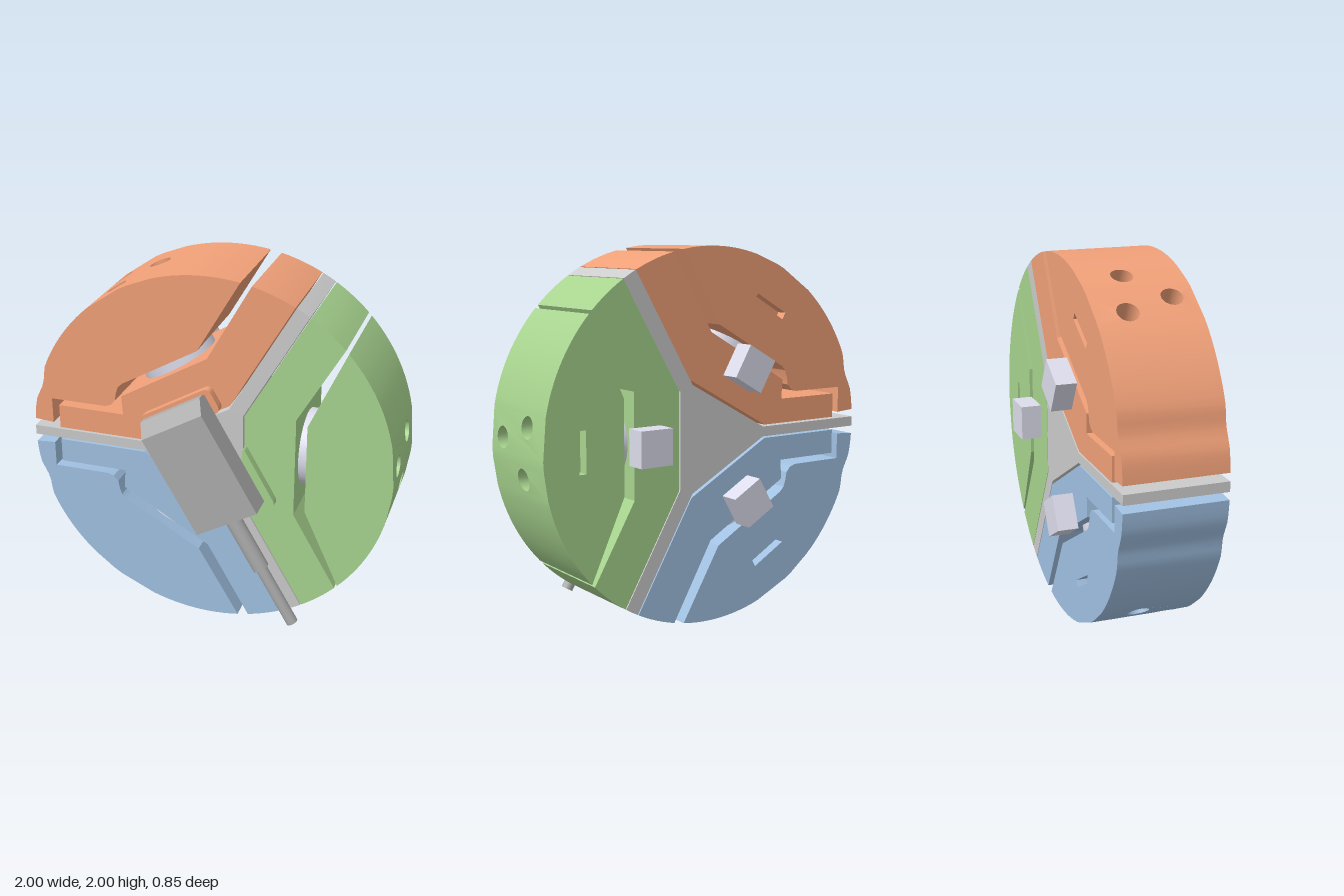
import * as THREE from 'three';
import { mergeGeometries, toCreasedNormals } from 'three/addons/utils/BufferGeometryUtils.js';

const BACK = -0.313, FRONT = 0.237, PIN_Z = -0.04;
const RAD = Math.PI / 180;
const COLORS = { green: 0xa8d48f, orange: 0xf0a078, blue: 0xa1c1e2, grey: 0xcccccc, dark: 0xadadad, steel: 0xdcdcec };
// Pin holes in a cap: [offset along the rim, z]
const HOLES = [[0.04, 0.115], [0.12, -0.14], [-0.15, -0.085]];
const HOLE_R = 0.058;
const PATCH = [-0.22, -0.08, -0.025, 0.19];

const mat = (name, side = THREE.FrontSide) => new THREE.MeshStandardMaterial({ color: COLORS[name], side });

function addMesh(parent, name, geometry, material) {
  const mesh = new THREE.Mesh(geometry, material);
  mesh.name = name;
  parent.add(mesh);
  return mesh;
}

const shapeOf = pts => new THREE.Shape(pts.map(([x, y]) => new THREE.Vector2(x, y)));
const mirror = pts => pts.map(([x, y]) => [x, -y]).reverse();

// Points along the rim, with a shallow dent either side of the left arm
function rim(from, to) {
  const n = Math.max(1, Math.ceil((to - from) / 2.5)), pts = [];
  for (let i = 0; i <= n; i++) {
    const a = from + (to - from) * i / n;
    const d = Math.abs(Math.abs(180 - a) - 17) / 7;
    const r = d < 1 ? 1 - 0.01 * (1 + Math.cos(Math.PI * d)) : 1;
    pts.push([r * Math.cos(a * RAD), r * Math.sin(a * RAD)]);
  }
  return pts;
}

function prism(shape, z0, z1) {
  const g = new THREE.ExtrudeGeometry(shape, { depth: z1 - z0, bevelEnabled: false, curveSegments: 6 });
  return toCreasedNormals(g.translate(0, 0, z0), 0.4);
}

function bare(g) {
  const out = g.index ? g.toNonIndexed() : g;
  out.deleteAttribute('uv');
  out.deleteAttribute('normal');
  return out;
}

// Outer cap: front and back faces, walls, and a rim patch pierced by pin holes
function capGeometry(axis, from, to, inner) {
  const patchAngles = PATCH.map(t => axis + Math.asin(t) / RAD);
  const patchRim = patchAngles.map(a => [Math.cos(a * RAD), Math.sin(a * RAD)]);
  const first = rim(from, patchAngles[0]);
  const outline = [...first, ...patchRim.slice(1, -1), ...rim(patchAngles[3], to), ...inner];
  const parts = [];

  parts.push(new THREE.ShapeGeometry(shapeOf(outline)).translate(0, 0, FRONT));
  const back = shapeOf(mirror(outline));
  const c = Math.cos(axis * RAD), s = Math.sin(axis * RAD);
  const slot = [[0.76, -0.11], [0.8, -0.11], [0.8, 0.11], [0.76, 0.11]]
    .map(([u, v]) => new THREE.Vector2(u * c - v * s, -(u * s + v * c)));
  back.holes.push(new THREE.Path(slot));
  parts.push(new THREE.ShapeGeometry(back).rotateX(Math.PI).translate(0, 0, BACK));

  const walls = [];
  outline.forEach(([x0, y0], i) => {
    if (i >= first.length - 1 && i < first.length + 2) return;
    const [x1, y1] = outline[(i + 1) % outline.length];
    walls.push(x0, y0, BACK, x1, y1, BACK, x1, y1, FRONT, x0, y0, BACK, x1, y1, FRONT, x0, y0, FRONT);
  });
  parts.push(new THREE.BufferGeometry().setAttribute('position', new THREE.Float32BufferAttribute(walls, 3)));

  for (let i = 0; i < 3; i++) {
    const a = PATCH[i], b = PATCH[i + 1];
    const panel = shapeOf([[a, BACK], [b, BACK], [b, FRONT], [a, FRONT]]);
    HOLES.filter(([t]) => t > a && t < b).forEach(([t, z]) =>
      panel.holes.push(new THREE.Path().absarc(t, z, HOLE_R, 0, Math.PI * 2, true)));
    const g = new THREE.ShapeGeometry(panel, 12), p = g.attributes.position;
    for (let k = 0; k < p.count; k++) {
      const t = p.getX(k);
      p.setXYZ(k, Math.sqrt(1 - t * t), t, p.getY(k));
    }
    parts.push(g.rotateZ(axis * RAD));
  }
  return toCreasedNormals(mergeGeometries(parts.map(bare)), 0.4);
}

// Stepped bore whose mouth follows the rim
function boreGeometry(t, z) {
  const profile = [[HOLE_R, 0], [HOLE_R, -0.2], [0.025, -0.2], [0.025, -0.459]].map(p => new THREE.Vector2(...p));
  const g = new THREE.LatheGeometry(profile, 24).rotateZ(-Math.PI / 2).translate(1, t, z);
  const p = g.attributes.position;
  for (let k = 0; k < p.count; k++) {
    if (p.getX(k) > 0.99) p.setX(k, Math.sqrt(1 - p.getY(k) ** 2));
  }
  return toCreasedNormals(g, 0.5);
}

// Polygon with rounded corners
function roundedShape(pts, r) {
  const v = pts.map(p => new THREE.Vector2(...p)), n = v.length, shape = new THREE.Shape();
  const toward = (a, b) => a.clone().add(b.clone().sub(a).setLength(r));
  v.forEach((p, i) => {
    const a = toward(p, v[(i + n - 1) % n]), b = toward(p, v[(i + 1) % n]);
    if (i) shape.lineTo(a.x, a.y); else shape.moveTo(a.x, a.y);
    shape.quadraticCurveTo(p.x, p.y, b.x, b.y);
  });
  shape.closePath();
  return shape;
}

export function createModel() {
  const model = new THREE.Group();
  model.name = 'threeJawDisc';
  const disc = new THREE.Group();
  disc.name = 'disc';
  disc.position.y = 1;
  model.add(disc);

  // Inner jaw and outer cap outlines, counter-clockwise around the disc centre
  const sideJaw = [[-0.36, 0.037], [0.125, 0.309], ...rim(62.64, 76.4), [0, 0.556], [-0.482, 0.276],
    [-0.475, 0.17], [-0.85, 0.17], [-0.85, 0.037]];
  const sideCap = [[-0.89, 0.062], [-0.89, 0.205], [-0.58, 0.205], [-0.545, 0.216], [-0.52, 0.245],
    [-0.512, 0.29], [-0.5, 0.325], [-0.475, 0.35], [-0.053, 0.593]];
  const sectors = [
    { color: 'green', axis: 0, from: -42.7, to: 42.7, cap: [[0.54, 0.25], [0.54, -0.25]],
      jaw: [[0.205, -0.263], ...rim(-57.4, -44), [0.48, -0.28], [0.48, 0.28], ...rim(44, 57.4), [0.205, 0.263]] },
    { color: 'orange', axis: 120, from: 79.9, to: 176, cap: sideCap, jaw: sideJaw },
    { color: 'blue', axis: 240, from: 184, to: 280.1, cap: mirror(sideCap), jaw: mirror(sideJaw) },
  ];

  for (const { color, axis, from, to, cap, jaw } of sectors) {
    addMesh(disc, color + 'InnerJaw', prism(shapeOf(jaw), BACK, FRONT), mat(color));
    addMesh(disc, color + 'OuterCap', capGeometry(axis, from, to, cap), mat(color));

    // Fittings laid out along +x, then turned to the sector
    const fittings = new THREE.Group();
    fittings.name = color + 'Fittings';
    fittings.rotation.z = axis * RAD;
    disc.add(fittings);
    for (const [t, z] of HOLES) addMesh(fittings, 'pinHole', boreGeometry(t, z), mat(color, THREE.DoubleSide));
    const recess = new THREE.BoxGeometry(0.04, 0.22, 0.06).translate(0.78, 0, BACK + 0.03);
    addMesh(fittings, 'backSlot', recess, mat(color, THREE.BackSide));
    const plate = new THREE.CylinderGeometry(0.21, 0.21, 0.06, 48).rotateZ(Math.PI / 2).translate(0.51, 0, PIN_Z);
    addMesh(fittings, 'pressurePlate', plate, mat('steel'));
    const block = new THREE.BoxGeometry(0.19, 0.19, 0.112).translate(0.415, 0, BACK - 0.056);
    addMesh(fittings, 'backBlock', block, mat('steel'));
  }

  // Y-shaped divider
  const halfDivider = [[0.197, 0.26], ...rim(57.7, 62.3), [0.12, 0.288], [-0.35, 0.027], [-1, 0.027]];
  addMesh(disc, 'divider', prism(shapeOf([...halfDivider, ...mirror(halfDivider)]), BACK, FRONT), mat('grey'));

  // Sensor assembly: local +x runs along the cable
  const sensor = new THREE.Group();
  sensor.name = 'sensor';
  sensor.rotation.z = -60 * RAD;
  disc.add(sensor);
  const pads = {
    orange: [[-0.35, -0.22], [-0.208, -0.22], [-0.208, 0.225], [-0.35, 0.225]],
    green: [[0.27, 0.07], [0.385, 0.07], [0.385, 0.235], [0.01, 0.235]],
    blue: [[0.02, -0.222], [0.372, -0.222], [0.372, -0.06], [0.28, -0.06]],
  };
  for (const color in pads) {
    addMesh(sensor, color + 'RaisedPad', prism(roundedShape(pads[color], 0.035), FRONT - 0.01, 0.285), mat(color));
  }
  const boss = new THREE.BoxGeometry(0.36, 0.16, 0.07).translate(-0.01, 0, 0.255);
  addMesh(sensor, 'hubBoss', boss, mat('grey'));

  // Housing with a sloped end, swept across its width
  const side = shapeOf([[-0.325, 0.285], [0.335, 0.285], [0.335, 0.425], [-0.265, 0.425], [-0.335, 0.345], [-0.335, 0.305]]);
  const housing = new THREE.ExtrudeGeometry(side, { depth: 0.38, bevelEnabled: false });
  addMesh(sensor, 'sensorHousing', housing.rotateX(Math.PI / 2).translate(0, 0.19, 0), mat('dark'));
  // rotateX carries the profile height onto +z
  for (const [name, r, x0, x1] of [['cableSleeve', 0.045, 0.3, 0.67], ['cable', 0.032, 0.6, 1.035]]) {
    const rod = new THREE.CylinderGeometry(r, r, x1 - x0, 24).rotateZ(Math.PI / 2).translate((x0 + x1) / 2, 0, 0.335);
    addMesh(sensor, name, rod, mat('dark'));
  }
  return model;
}
